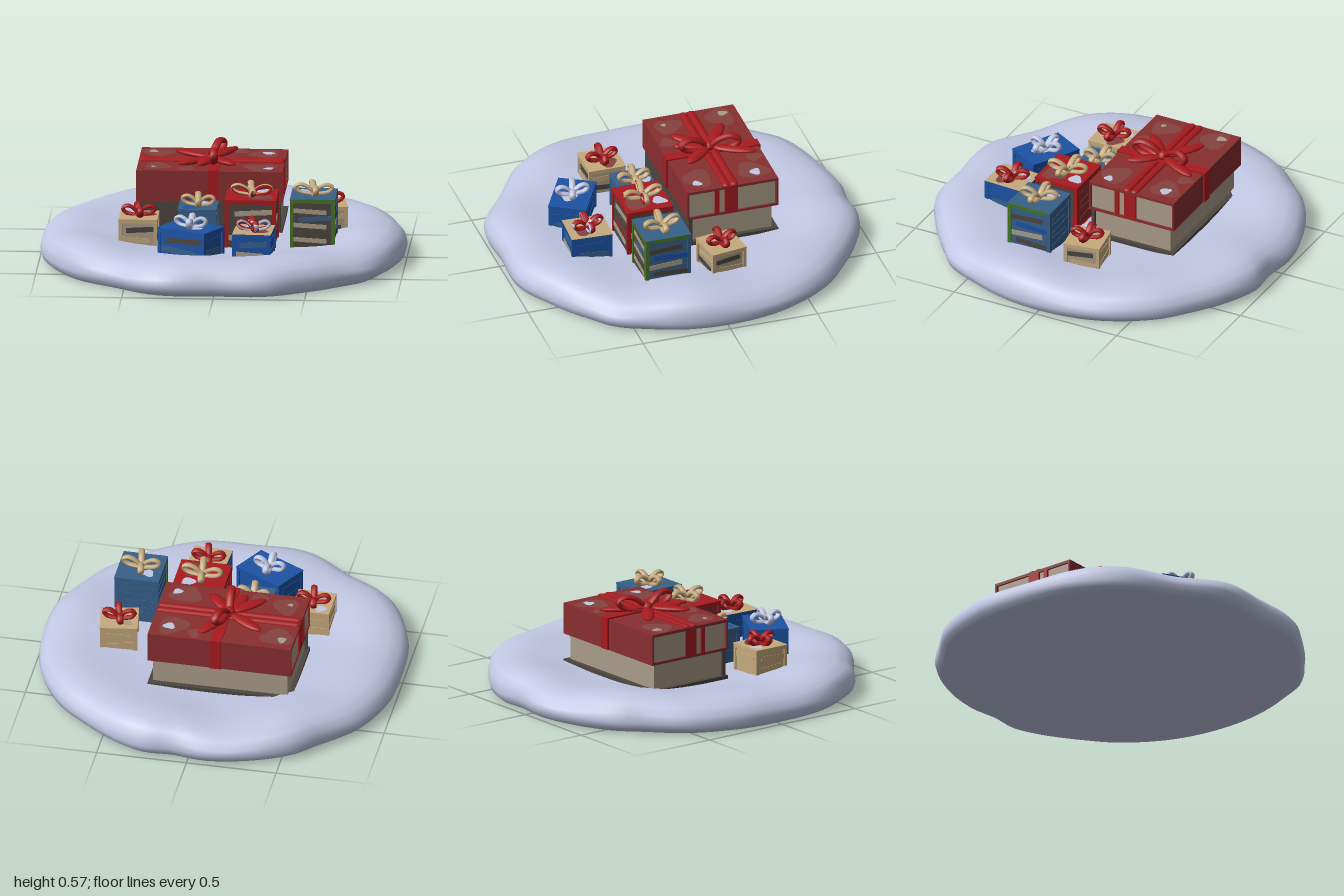
import * as THREE from 'three';
import { mergeVertices } from 'three/addons/utils/BufferGeometryUtils.js';

const material = (name, color) => {
  const m = new THREE.MeshStandardMaterial({ color });
  m.name = name;
  return m;
};

// Rim radius of the mound by angle in degrees (x towards z)
const RIM = [[0, 1], [24, 1.005], [37, 1.028], [47, 1.008], [60, 1.008], [73, 1.028], [90, 0.992], [108, 1.038],
  [125, 1], [141, 1.026], [157, 1.022], [180, 1], [195, 1.012], [211, 1.02], [226, 1], [236, 1.018], [255, 1.01],
  [263, 1.006], [275, 0.98], [286, 1.017], [308, 0.997], [322, 1.01], [335, 1.01], [360, 1]];
function rimRadius(angle) {
  const deg = (THREE.MathUtils.radToDeg(angle) + 360) % 360;
  const i = Math.max(1, RIM.findIndex(([a]) => a >= deg));
  const [a0, r0] = RIM[i - 1], [a1, r1] = RIM[i];
  return THREE.MathUtils.lerp(r0, r1, THREE.MathUtils.smoothstep(deg, a0, a1));
}

export function createModel() {
  const model = new THREE.Group();
  model.name = 'giftsOnSnow';
  const snow = material('snow', 0xc2c8e4);
  const red = material('ribbonRed', 0xa81a1e);
  const cover = material('coverRed', 0x882e30);
  const faded = material('fadedRed', 0x84423f);
  const cream = material('cream', 0xc6aa7e);
  const pages = material('pages', 0xaa9c88);
  const blue = material('blue', 0x1c52a4);
  const slate = material('slateBlue', 0x38608a);
  const green = material('green', 0x467426);
  const dark = material('darkBrown', 0x4c463f);

  const mesh = (parent, name, geometry, mat, x = 0, y = 0, z = 0) => {
    const m = new THREE.Mesh(geometry, mat);
    m.name = name;
    m.position.set(x, y, z);
    parent.add(m);
    return m;
  };
  const box = (parent, name, mat, w, h, d, x, y, z) =>
    mesh(parent, name, new THREE.BoxGeometry(w, h, d), mat, x, y, z);

  // Snow mound: a lathed disc with a wavy rim and a shallow hollow
  const profile = [[0, 0], [0.9, 0], [0.965, 0.004], [0.99, 0.025], [1, 0.06], [0.992, 0.1],
    [0.96, 0.14], [0.9, 0.167], [0.82, 0.174], [0.73, 0.168], [0.62, 0.148], [0.5, 0.134], [0.3, 0.13], [0, 0.13]];
  let mound = new THREE.LatheGeometry(profile.map(([r, y]) => new THREE.Vector2(r, y)), 120);
  const p = mound.attributes.position;
  for (let i = 0; i < p.count; i++) {
    const x = p.getX(i), y = p.getY(i), z = p.getZ(i);
    const r = Math.hypot(x, z), a = Math.atan2(z, x);
    const wave = 1 + r * r * (rimRadius(a) - 1);
    const rim = THREE.MathUtils.smoothstep(r, 0.5, 0.8) * (y > 0.08 ? 1 : 0);
    const lift = rim * (0.01 * Math.sin(5 * a + 1) + 0.008 * Math.sin(8 * a));
    p.setXYZ(i, x * wave, y + lift, z * wave);
  }
  mound.deleteAttribute('uv');
  mound.deleteAttribute('normal');
  mound = mergeVertices(mound, 1e-5);
  mound.computeVertexNormals();
  mesh(model, 'snowMound', mound, snow);

  // One ribbon loop rising from the knot, with its forward faces in a second colour
  const addLoop = (parent, mat, s, h, thick, angle, frontMat = mat) => {
    const curve = new THREE.CatmullRomCurve3([[0, 0], [0.35, 0.75], [0.75, 1], [1, 0.7], [0.8, 0.25], [0.35, 0.05]]
      .map(([x, y]) => new THREE.Vector3(x * s, y * h, 0)), true);
    const geo = new THREE.TubeGeometry(curve, 24, thick, 7, true);
    geo.scale(1, 1, 1.7);
    geo.rotateY(angle);
    if (frontMat !== mat) {
      const { index, attributes: { normal } } = geo;
      for (let i = 0; i < index.count; i += 6) {
        const forward = (normal.getZ(index.getX(i)) + normal.getZ(index.getX(i + 4))) / 2 > 0.6;
        geo.addGroup(i, 6, forward ? 1 : 0);
      }
    }
    mesh(parent, 'bowLoop', geo, frontMat === mat ? mat : [mat, frontMat]);
  };
  const addKnot = (parent, mat, r) => {
    mesh(parent, 'bowKnot', new THREE.SphereGeometry(r, 12, 8), mat, 0, r * 0.5, 0).scale.y = 0.8;
  };

  // Irregular flat patch lying on a top face
  const patch = (parent, name, mat, r, x, y, z, turn = 0) => {
    const shape = new THREE.Shape();
    for (let i = 0; i < 16; i++) {
      const a = i / 16 * Math.PI * 2, k = r * (1 + 0.16 * Math.sin(3 * a + turn));
      shape[i ? 'lineTo' : 'moveTo'](Math.cos(a) * k, Math.sin(a) * k * 0.85);
    }
    mesh(parent, name, new THREE.ShapeGeometry(shape), mat, x, y, z).rotation.set(-Math.PI / 2, 0, turn);
  };

  // Small present: panels, raised edge bars, brushed streaks, a lid and a four-loop bow
  const FLOOR = 0.11;
  function present({ name, x, z, w, d, top, turn = 0, frame, backFrame = frame, side, flankSide = side, backSide = side,
    lid, bow, bowFront = bow, front, flank, spot, spotAt, stain, stainAt, bowTurn = 0 }) {
    const g = new THREE.Group();
    g.name = name;
    g.position.set(x, FLOOR, z);
    g.rotation.y = turn;
    model.add(g);
    const h = top - FLOOR, t = 0.02;
    mesh(g, 'panels', new THREE.BoxGeometry(w - 0.014, h - 0.014, d - 0.014),
      [flankSide, backSide, lid, side, side, backSide], 0, h / 2, 0);
    mesh(g, 'lid', new THREE.BoxGeometry(w + 0.003, 0.006, d + 0.003),
      [frame, backFrame, lid, frame, frame, backFrame], 0, h, 0);
    for (const s of [-1, 1]) {
      const edge = s > 0 ? frame : backFrame;
      for (const q of [-1, 1]) {
        const y = q > 0 ? h - t / 2 : t / 2;
        box(g, 'uprightEdge', q > 0 ? frame : backFrame, t, h, t, s * (w - t) / 2, h / 2, q * (d - t) / 2);
        box(g, 'longEdge', edge, w - 0.002, t, t, 0, y, s * (d - t) / 2);
        box(g, 'sideEdge', edge, t, t, d - 0.002, s * (w - t) / 2, y, 0);
      }
      // Slanted streaks, front and back then both flanks
      const thick = (list) => h * 0.5 / (list.length + 1);
      const height = (i, list) => h * (0.16 + 0.68 * (i + 0.5) / list.length);
      const sway = (i) => (i % 2 ? 0.06 : -0.06);
      front.forEach((mat, i) => {
        box(g, 'streak', s > 0 ? mat : backSide, w * 0.74, thick(front), 0.004,
          sway(i) * w, height(i, front), s * (d / 2 - 0.006)).rotation.z = sway(i);
      });
      flank.forEach((mat, i) => {
        box(g, 'streak', s > 0 ? mat : backSide, 0.004, thick(flank), d * 0.74,
          s * (w / 2 - 0.006), height(i, flank), sway(i) * d).rotation.x = sway(i);
      });
    }
    patch(g, 'lidStain', stain, w * 0.24, stainAt[0] * w, h + 0.004, stainAt[1] * d, x * 9);
    patch(g, 'lidSnow', spot, w * 0.15, spotAt[0] * w, h + 0.005, spotAt[1] * d, x * 5);
    const b = new THREE.Group();
    b.name = 'bow';
    b.position.y = h + 0.004;
    b.rotation.y = bowTurn;
    g.add(b);
    const s = Math.min(w, d) * 0.42;
    for (let i = 0; i < 4; i++) addLoop(b, bow, s, 0.052, 0.0105, i * Math.PI / 2 + (i % 2 ? 0.12 : -0.08), bowFront);
    addKnot(b, bow, 0.022);
  }

  [
    { name: 'leftCreamPresent', x: -0.45, z: 0.27, w: 0.21, d: 0.21, top: 0.28, frame: cream, side: pages, backSide: cream,
      lid: cream, bow: red, front: [cream, dark], flank: [dark, cream], spot: snow, spotAt: [-0.25, -0.3],
      stain: faded, stainAt: [0.22, -0.12], bowTurn: 0.05 },
    { name: 'slatePresent', x: -0.13, z: 0.19, w: 0.21, d: 0.21, top: 0.32, frame: slate, side: slate, lid: slate,
      bow: cream, front: [blue, dark, slate], flank: [blue, slate], spot: snow, spotAt: [0.08, -0.32],
      stain: blue, stainAt: [-0.2, 0.2], bowTurn: -0.05 },
    { name: 'redPresent', x: 0.165, z: 0.235, w: 0.28, d: 0.26, top: 0.395, frame: red, side: dark, backSide: cover,
      lid: red, bow: cream, bowFront: red, front: [pages, cover, dark, pages], flank: [cover, pages, dark],
      spot: snow, spotAt: [0.22, -0.3], stain: faded, stainAt: [0.22, 0.2] },
    { name: 'bluePresent', x: -0.15, z: 0.535, w: 0.3, d: 0.21, top: 0.285, turn: -0.5, frame: blue, side: blue,
      lid: blue, bow: snow, front: [slate, dark], flank: [slate, blue], spot: snow, spotAt: [0.12, 0.05],
      stain: blue, stainAt: [-0.2, 0], bowTurn: 0.3 },
    { name: 'creamLidPresent', x: 0.195, z: 0.56, w: 0.21, d: 0.23, top: 0.28, turn: -0.05, frame: blue, side: blue,
      lid: cream, bow: red, bowFront: snow, front: [pages, slate], flank: [slate, blue], spot: snow,
      spotAt: [-0.22, -0.25], stain: faded, stainAt: [0.18, 0.12], bowTurn: 0.15 },
    { name: 'tallGreenPresent', x: 0.505, z: 0.235, w: 0.245, d: 0.26, top: 0.405, frame: green, backFrame: slate,
      side: dark, flankSide: slate, backSide: slate, lid: slate, bow: cream, front: [pages, dark, pages, slate, pages],
      flank: [dark, pages, blue, dark], spot: snow, spotAt: [-0.2, -0.22], stain: slate, stainAt: [0.2, 0.2],
      bowTurn: 0.05 },
    { name: 'rightCreamPresent', x: 0.56, z: -0.09, w: 0.205, d: 0.205, top: 0.275, turn: 0.16, frame: cream,
      side: pages, backSide: cream, lid: cream, bow: red, front: [dark, cream], flank: [cream, dark], spot: pages,
      spotAt: [-0.22, -0.25], stain: cream, stainAt: [0.2, 0.2] },
  ].forEach(present);

  // Two stacked books tied with a ribbon
  const books = new THREE.Group();
  books.name = 'stackedBooks';
  books.position.set(-0.08, 0, -0.235);
  model.add(books);
  const W = 0.8, D = 0.52;
  box(books, 'lowerCover', dark, W, 0.02, D, 0, 0.143, 0);
  box(books, 'lowerPages', pages, W - 0.05, 0.16, D - 0.06, 0, 0.225, 0);
  box(books, 'lowerSpine', dark, W - 0.02, 0.15, 0.02, 0, 0.22, D / 2 - 0.02);
  box(books, 'middleCover', cover, W, 0.014, D, 0, 0.305, 0);
  box(books, 'upperPages', pages, W - 0.02, 0.15, D - 0.03, 0, 0.385, 0);
  for (const s of [-1, 1]) box(books, 'upperSpine', cover, W, 0.17, 0.01, 0, 0.385, s * (D / 2 - 0.005));
  box(books, 'topCover', cover, W, 0.016, D, 0, 0.464, 0);

  // Faded areas and worn specks on the cover
  [[-0.3, -0.15, 0.09, faded], [0.28, -0.15, 0.09, faded], [-0.29, 0.15, 0.08, faded], [0.27, 0.16, 0.09, faded],
    [-0.13, 0.2, 0.05, faded], [0.15, -0.2, 0.045, faded],
    [0.3, -0.16, 0.034, snow], [0.32, 0.18, 0.028, snow], [-0.33, -0.175, 0.028, pages], [-0.31, 0.17, 0.016, pages]]
    .forEach(([x, z, r, m], i) => patch(books, 'wornPatch', m, r, x, m === faded ? 0.4728 : 0.4738, z, i));

  // Ribbon bands: a paired strip lengthwise and one strip round the width
  for (const dz of [-0.012, 0.034]) {
    const strip = mesh(books, 'longRibbon', new THREE.CapsuleGeometry(0.022, W - 0.044, 4, 8), red, 0, 0.473, dz);
    strip.rotation.z = Math.PI / 2;
    strip.scale.x = 0.5;
  }
  box(books, 'crossRibbon', red, 0.06, 0.01, D + 0.02, 0.02, 0.475, 0);
  for (const s of [-1, 1]) {
    box(books, 'ribbonDrop', red, 0.06, 0.18, 0.012, 0.02, 0.39, s * (D / 2 + 0.004));
    box(books, 'ribbonEndDrop', red, 0.018, 0.17, 0.072, s * (W / 2 - 0.009), 0.385, 0.008);
    box(books, 'ribbonEndStrand', red, 0.018, 0.17, 0.026, s * (W / 2 - 0.009), 0.385, 0.09);
  }

  // Large bow: two upright loops and five lying tails
  const bow = new THREE.Group();
  bow.name = 'largeBow';
  bow.position.set(0, 0.478, 0.01);
  books.add(bow);
  addLoop(bow, red, 0.17, 0.082, 0.014, 1.25);
  addLoop(bow, red, 0.17, 0.082, 0.014, -1.45);
  addKnot(bow, red, 0.035);
  [[-0.2, -0.14], [0.12, -0.23], [-0.17, 0.16], [0.13, 0.16], [-0.06, 0.18]].forEach(([x, z]) => {
    const tail = mesh(bow, 'bowTail', new THREE.SphereGeometry(1, 14, 8), red, x * 0.53, 0.012, z * 0.53);
    tail.scale.set(Math.hypot(x, z) * 0.5, 0.016, 0.035);
    tail.rotation.y = Math.atan2(-z, x);
  });

  return model;
}
